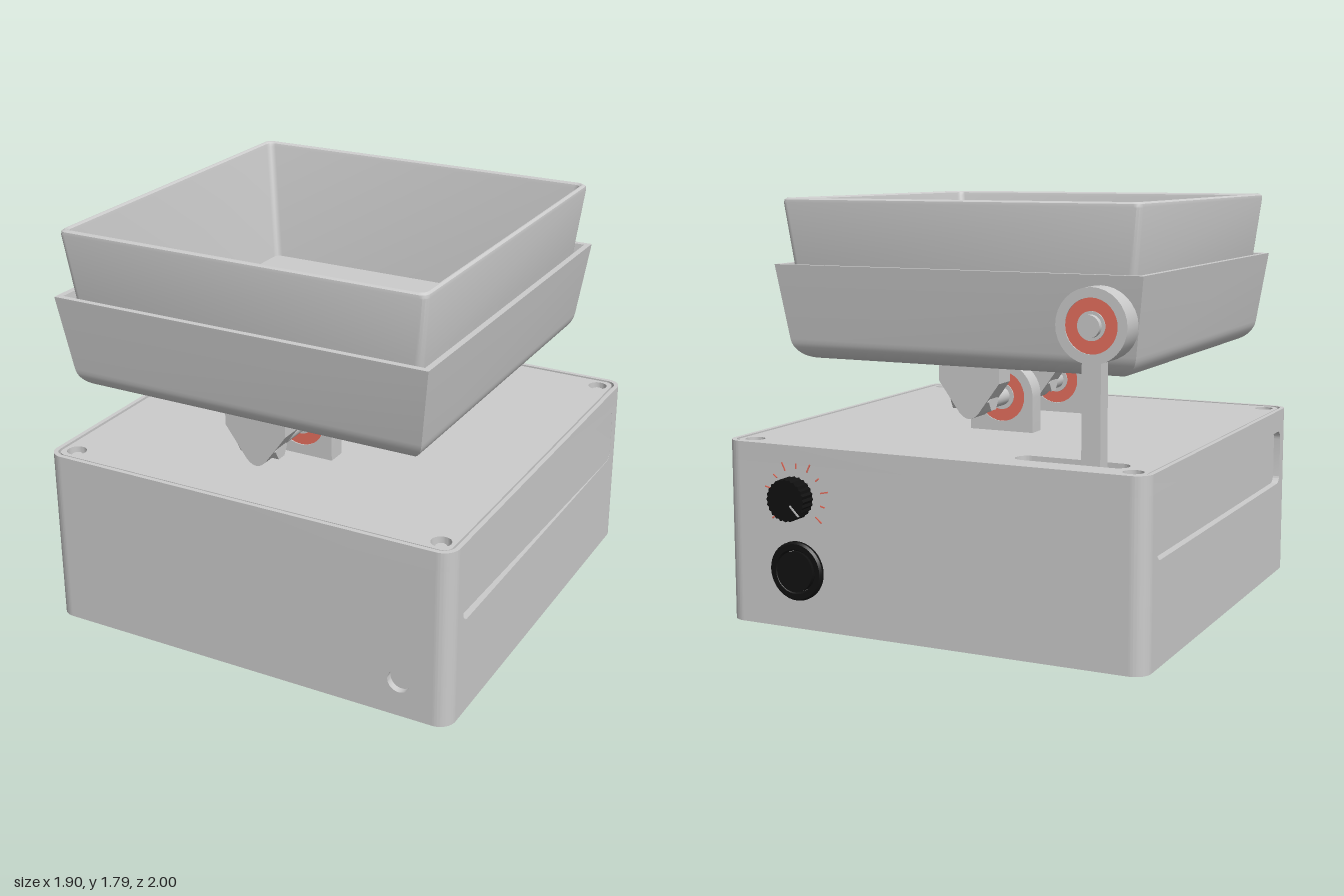
import * as THREE from 'three';
import { toCreasedNormals } from 'three/addons/utils/BufferGeometryUtils.js';

const material = (color) => new THREE.MeshStandardMaterial({ color });
const grey = material(0xcccccc);
const coral = material(0xe8705f);
const black = material(0x111111);
const white = material(0xeeeeee);

function add(parent, name, geometry, mat = grey, x = 0, y = 0, z = 0) {
  const mesh = new THREE.Mesh(geometry, mat);
  mesh.name = name;
  mesh.position.set(x, y, z);
  parent.add(mesh);
  return mesh;
}

function group(parent, name, x = 0, y = 0, z = 0) {
  const g = new THREE.Group();
  g.name = name;
  g.position.set(x, y, z);
  parent.add(g);
  return g;
}

const extrude = (shape, depth) =>
  toCreasedNormals(new THREE.ExtrudeGeometry(shape, { depth, bevelEnabled: false, curveSegments: 16 }), 0.6);

// Extrudes a plan shape upwards
const extrudeUp = (shape, height) => extrude(shape, height).rotateX(-Math.PI / 2);

function roundedRect(w, h, r, cx = 0, cy = 0) {
  const s = new THREE.Shape();
  const x = w / 2 - r, y = h / 2 - r;
  s.absarc(cx + x, cy + y, r, 0, Math.PI / 2);
  s.absarc(cx - x, cy + y, r, Math.PI / 2, Math.PI);
  s.absarc(cx - x, cy - y, r, Math.PI, Math.PI * 1.5);
  s.absarc(cx + x, cy - y, r, Math.PI * 1.5, Math.PI * 2);
  s.closePath();
  return s;
}

const circle = (r, x = 0, y = 0) => new THREE.Shape().absarc(x, y, r, 0, Math.PI * 2);

function ring(outer, inner, depth) {
  const s = circle(outer);
  s.holes.push(circle(inner));
  return extrude(s, depth);
}

// Cylinder lying along z, centred
const rod = (r, length, sides = 32) => new THREE.CylinderGeometry(r, r, length, sides).rotateX(Math.PI / 2);

// Lofts square sections [halfWidth, y] with rounded or sharp corners
function squareLoft(rows, radius) {
  const steps = radius ? 4 : 0, n = 4 * (steps + 1);
  const pos = [], index = [];
  rows.forEach(([half, y], i) => {
    const r = Math.min(radius, half), c = half - r;
    for (let k = 0; k < 4; k++) {
      const sx = k === 0 || k === 3 ? 1 : -1, sz = k < 2 ? 1 : -1;
      for (let j = 0; j <= steps; j++) {
        const a = (k + (steps ? j / steps : 0)) * Math.PI / 2;
        pos.push(sx * c + r * Math.cos(a), y, sz * c + r * Math.sin(a));
      }
    }
    if (i === 0) return;
    for (let j = 0; j < n; j++) {
      const a = (i - 1) * n + j, b = (i - 1) * n + (j + 1) % n;
      index.push(a, a + n, b, b, a + n, b + n);
    }
  });
  const g = new THREE.BufferGeometry();
  g.setAttribute('position', new THREE.Float32BufferAttribute(pos, 3));
  g.setIndex(index);
  return toCreasedNormals(g, 0.5);
}

// Ball bearing: outer race, coloured shield, inner race
function addBearing(parent, depth) {
  const b = group(parent, 'bearing');
  add(b, 'outerRace', ring(0.126, 0.11, depth));
  add(b, 'shield', ring(0.11, 0.058, depth - 0.01), coral, 0, 0, 0.005);
  add(b, 'innerRace', ring(0.058, 0.035, depth));
}

function buildBase(model) {
  const base = group(model, 'base', 0, 0, 0.04);
  const h = 0.95, r = 0.07, e = h - r, d = 0.03, wall = 0.7;

  // Core with rounded corner posts; the four sides are set back for the panels
  const core = new THREE.Shape();
  for (let k = 0; k < 4; k++) {
    const turn = k * Math.PI / 2, c = Math.cos(turn), s = Math.sin(turn);
    const at = (x, y) => [x * c - y * s, x * s + y * c];
    if (k === 0) core.moveTo(...at(h - d, e)); else core.lineTo(...at(h - d, e));
    core.absarc(...at(e, e), r, turn, turn + Math.PI / 2);
    core.lineTo(...at(e, h - d));
  }
  core.closePath();
  add(base, 'core', extrudeUp(core, wall));

  // Side panels: cable hole in front, grip recesses left and right
  ['front', 'left', 'back', 'right'].forEach((side, k) => {
    const s = new THREE.Shape([[-e, 0], [e, 0], [e, wall], [-e, wall]].map(p => new THREE.Vector2(...p)));
    if (k === 0) s.holes.push(circle(0.05, 0.73, 0.16));
    if (k % 2) s.holes.push(roundedRect(1.67, 0.25, 0.04, 0, 0.555));
    add(base, side + 'Panel', extrude(s, d).translate(0, 0, h - d)).rotation.y = k * Math.PI / 2;
  });

  // Rim and inset lid with arm slot and screw holes
  const rim = roundedRect(2 * h, 2 * h, r);
  rim.holes.push(roundedRect(2 * h - 0.04, 2 * h - 0.04, r - 0.02));
  add(base, 'rim', extrudeUp(rim, 0.08), grey, 0, wall, 0);
  const lid = roundedRect(2 * h - 0.06, 2 * h - 0.06, r - 0.03);
  lid.holes.push(roundedRect(0.485, 0.1, 0.049, -0.567, 0.77));
  for (const x of [-0.86, 0.86]) for (const z of [-0.86, 0.86]) {
    lid.holes.push(circle(0.042, x, -z));
    add(base, 'screw', new THREE.CylinderGeometry(0.022, 0.022, 0.06, 20), grey, x, 0.73, z);
  }
  add(base, 'lid', extrudeUp(lid, 0.037), grey, 0, 0.74, 0);
}

function buildControls(model) {
  // Fluted dial with pointer and scale marks
  const dial = group(model, 'speedDial', 0.6, 0.565, -0.91);
  const flutes = new THREE.Shape(Array.from({ length: 48 }, (_, i) => {
    const a = i / 48 * Math.PI * 2, r = i % 2 ? 0.084 : 0.09;
    return new THREE.Vector2(r * Math.cos(a), r * Math.sin(a));
  }));
  add(dial, 'knob', extrude(flutes, 0.075), black, 0, 0, -0.088);
  add(dial, 'knobStem', rod(0.06, 0.02), black, 0, 0, -0.008);
  const pointer = add(dial, 'pointer', new THREE.BoxGeometry(0.06, 0.008, 0.004), white, -0.045, -0.04, -0.088);
  pointer.rotation.z = Math.PI / 4;
  for (let i = 0; i < 11; i++) {
    const a = (-40 + i * 26) * Math.PI / 180, r = i % 2 ? 0.13 : 0.138;
    const mark = add(dial, 'scaleMark', new THREE.BoxGeometry(i % 2 ? 0.022 : 0.038, 0.006, 0.003), coral,
      r * Math.cos(a), r * Math.sin(a), -0.001);
    mark.rotation.z = a;
  }

  // Round rocker switch
  const button = group(model, 'powerSwitch', 0.6, 0.25, -0.91);
  const bezel = [[0.088, 0], [0.126, 0], [0.126, 0.012], [0.118, 0.022], [0.095, 0.022], [0.088, 0.012], [0.088, 0]];
  const bezelShape = new THREE.LatheGeometry(bezel.map(p => new THREE.Vector2(...p)), 40);
  add(button, 'bezel', toCreasedNormals(bezelShape, 0.4).rotateX(-Math.PI / 2), black);
  const rocker = add(button, 'rocker', rod(0.086, 0.03), black, 0, 0, -0.012);
  rocker.rotation.x = 0.08;
}

function buildPivot(model) {
  // Arched bearing blocks standing on the lid
  for (const z of [0.39, -0.195]) {
    const block = group(model, 'bearingBlock', 0, 0.93, z);
    const s = new THREE.Shape().moveTo(-0.15, -0.16);
    s.lineTo(0.15, -0.16);
    s.absarc(0, 0, 0.15, 0, Math.PI);
    s.closePath();
    s.holes.push(circle(0.125));
    add(block, 'housing', extrude(s, 0.085));
    addBearing(block, 0.085);
  }
  add(model, 'pivotRod', rod(0.04, 1.3), grey, 0, 0.93, 0.165);
  for (const z of [0.7, -0.37]) add(model, 'rodCollar', rod(0.046, 0.06), grey, 0, 0.926, z);

  // Tapered hangers joining the tray to the rod
  const hanger = new THREE.Shape().moveTo(-0.14, 1.12);
  hanger.lineTo(-0.14, 1.03);
  hanger.lineTo(-0.045, 0.9);
  hanger.quadraticCurveTo(0, 0.85, 0.045, 0.9);
  hanger.lineTo(0.14, 1.03);
  hanger.lineTo(0.14, 1.12);
  hanger.closePath();
  for (const z of [0.785, 0.165, -0.455]) {
    add(model, 'hanger', extrude(hanger, 0.106), grey, 0, 0, z - 0.053);
    const nut = new THREE.CylinderGeometry(0.045, 0.045, 0.18, 6).rotateZ(Math.PI / 2);
    add(model, 'clampNut', toCreasedNormals(nut, 0.4), grey, 0, 0.95, z);
  }
}

function buildArm(model) {
  // Rocking arm: post through the lid slot, bearing on the tray's back
  const arm = group(model, 'rockingArm', -0.66, 1.32, -0.77);
  add(arm, 'post', new THREE.BoxGeometry(0.08, 0.5, 0.073), grey, 0, -0.38, 0.043);
  add(arm, 'housing', ring(0.15, 0.125, 0.13));
  addBearing(arm, 0.13);
  add(arm, 'shaft', rod(0.045, 0.15), grey, 0, 0, 0.05);
}

function buildTrays(model) {
  const trays = group(model, 'trays', 0, 0, 0.16);
  // Outer tray with rounded bottom edge and mitred corners
  const outer = [[0, 1.1]];
  for (let i = 0; i <= 8; i++) {
    const a = (-90 + i * 10.375) * Math.PI / 180;
    outer.push([0.695 + 0.1 * Math.cos(a), 1.2 + 0.1 * Math.sin(a)]);
  }
  outer.push([0.838, 1.51], [0.812, 1.51], [0.772, 1.2], [0.7, 1.14], [0, 1.14]);
  add(trays, 'outerTray', squareLoft(outer, 0));
  // Removable inner tray with softened rim
  add(trays, 'innerTray', squareLoft([
    [0, 1.22], [0.755, 1.22], [0.785, 1.51], [0.814, 1.77], [0.812, 1.783], [0.803, 1.79],
    [0.798, 1.79], [0.79, 1.783], [0.787, 1.77], [0.72, 1.25], [0, 1.25],
  ], 0.03));
}

export function createModel() {
  const model = new THREE.Group();
  model.name = 'rockingTrayMachine';
  [buildBase, buildControls, buildPivot, buildArm, buildTrays].forEach(build => build(model));
  return model;
}
